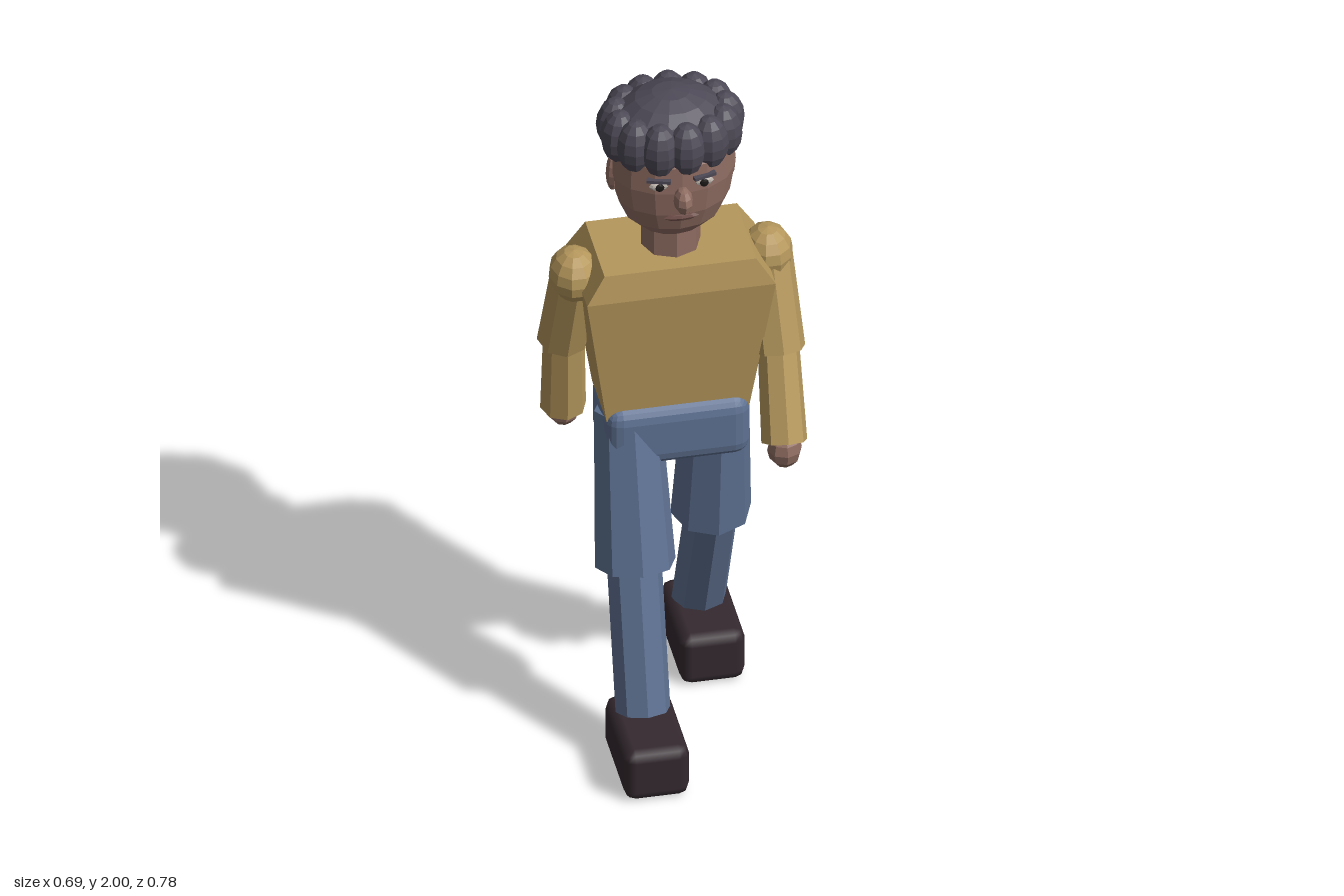
import * as THREE from 'three';
import { RoundedBoxGeometry } from 'three/addons/geometries/RoundedBoxGeometry.js';

const mat = (name, color, flatShading = true) => {
  const m = new THREE.MeshStandardMaterial({ color, flatShading });
  m.name = name;
  return m;
};

export function createModel() {
  const skin = mat('skin', 0x8f6d62);
  const shirt = mat('mustard shirt', 0xb5975c);
  const denim = mat('blue trousers', 0x5f7293);
  const denimSmooth = denim;
  const leather = mat('dark shoes', 0x34292f, false);
  const hairMat = mat('dark hair', 0x4d4956);
  const white = mat('eye white', 0xb8b0a8);
  const black = mat('pupil black', 0x1c1818);
  const lipMat = mat('lips', 0x6b4a44);

  const model = new THREE.Group();
  model.name = 'walkingMan';
  const MID = -0.056; // depth of the body's centre line

  const add = (name, geo, material, x = 0, y = 0, z = 0, parent = model) => {
    const mesh = new THREE.Mesh(geo, material);
    mesh.name = name;
    mesh.position.set(x, y, z);
    parent.add(mesh);
    return mesh;
  };

  // Faceted ellipsoid
  const ball = (name, material, p, r, ws = 10, hs = 8, parent = model) => {
    const mesh = add(name, new THREE.SphereGeometry(1, ws, hs), material, ...p, parent);
    mesh.scale.set(...r);
    return mesh;
  };

  // Eight-sided limb segment from a (upper end) to b (lower end)
  const limb = (name, material, a, b, rTop, rBottom, parent) => {
    const top = new THREE.Vector3(...a), low = new THREE.Vector3(...b);
    const dir = top.clone().sub(low);
    const geo = new THREE.CylinderGeometry(rTop, rBottom, dir.length(), 8);
    const c = top.clone().add(low).multiplyScalar(0.5);
    const mesh = add(name, geo, material, c.x, c.y, c.z, parent);
    mesh.quaternion.setFromUnitVectors(new THREE.Vector3(0, 1, 0), dir.normalize());
    return mesh;
  };

  // Torso: box with three levels, widest just under the shoulders
  const levels = [[1.0, 0.193, 0.095], [1.42, 0.255, 0.142], [1.5, 0.205, 0.127]];
  const torso = new THREE.BoxGeometry(2, 2, 2, 1, 2, 1);
  const pos = torso.attributes.position;
  for (let i = 0; i < pos.count; i++) {
    const [y, hx, hz] = levels[Math.round(pos.getY(i)) + 1];
    pos.setXYZ(i, pos.getX(i) * hx, y, pos.getZ(i) * hz);
  }
  torso.computeVertexNormals();
  add('torso', torso, shirt, 0, 0, MID);

  // Hips
  add('hips', new RoundedBoxGeometry(0.392, 0.19, 0.235, 2, 0.045), denimSmooth, 0, 0.943, MID + 0.005);

  // Neck
  add('neck', new THREE.CylinderGeometry(0.08, 0.08, 0.2, 8), skin, 0, 1.57, MID);

  // Head: turned profile, narrower front to back
  const head = new THREE.Group();
  head.name = 'head';
  model.add(head);
  const profile = [[0, 1.575], [0.085, 1.585], [0.128, 1.625], [0.154, 1.685], [0.166, 1.76], [0.162, 1.84], [0.1, 1.9], [0, 1.91]]
    .map(([x, y]) => new THREE.Vector2(x, y));
  add('skull', new THREE.LatheGeometry(profile, 14), skin, 0, 0, -0.033, head).scale.z = 0.79;

  // Face and ears
  ball('nose', skin, [0, 1.747, 0.108], [0.026, 0.038, 0.042], 8, 6, head);
  const mouth = ball('mouth', lipMat, [0, 1.677, 0.084], [0.048, 0.011, 0.011], 8, 4, head);
  mouth.name = 'mouth';
  for (const s of [1, -1]) {
    const side = s > 0 ? 'left' : 'right';
    ball(side + 'Eye', white, [s * 0.06, 1.786, 0.084], [0.028, 0.013, 0.012], 8, 6, head);
    ball(side + 'Pupil', black, [s * 0.06, 1.786, 0.094], [0.012, 0.012, 0.005], 8, 6, head);
    const brow = add(side + 'Brow', new THREE.BoxGeometry(0.064, 0.009, 0.016), hairMat, s * 0.062, 1.805, 0.088, head);
    brow.rotation.y = s * 0.3;
    ball(side + 'Ear', skin, [s * 0.158, 1.745, MID], [0.018, 0.055, 0.026], 8, 6, head);
  }

  // Hair: dome with a ring of curls
  const hair = new THREE.Group();
  hair.name = 'hair';
  model.add(hair);
  ball('crown', hairMat, [0, 1.875, MID], [0.165, 0.12, 0.145], 14, 10, hair);
  const curls = 13;
  for (let i = 0; i < curls; i++) {
    const a = (i / curls) * Math.PI * 2;
    const curl = ball('curl', hairMat, [0.147 * Math.cos(a), 1.882, MID + 0.121 * Math.sin(a)],
      [0.053, 0.08, 0.053], 10, 8, hair);
    curl.rotation.y = -a;
  }

  // Arms: the left one swings forward, the right one back
  const arms = [
    { side: 'left', s: 1, elbow: [1.17, 0.035], wrist: [0.945, 0.143], hand: [0.927, 0.15] },
    { side: 'right', s: -1, elbow: [1.165, -0.14], wrist: [0.915, -0.178], hand: [0.907, -0.183] },
  ];
  for (const { side, s, elbow, wrist, hand } of arms) {
    const arm = new THREE.Group();
    arm.name = side + 'Arm';
    model.add(arm);
    ball('shoulder', shirt, [s * 0.262, 1.43, MID], [0.068, 0.076, 0.08], 10, 8, arm);
    limb('upperArm', shirt, [s * 0.262, 1.43, MID], [s * 0.275, ...elbow], 0.066, 0.07, arm);
    limb('forearm', shirt, [s * 0.273, elbow[0] + 0.02, elbow[1] - s * 0.005], [s * 0.266, ...wrist], 0.056, 0.062, arm);
    ball('hand', skin, [s * 0.265, ...hand], [0.047, 0.055, 0.047], 8, 6, arm);
  }

  // Legs: the left one trails, the right one leads
  const legs = [
    { side: 'left', s: 1, hip: -0.062, knee: -0.128, ankle: -0.293, foot: -0.24 },
    { side: 'right', s: -1, hip: -0.03, knee: 0.075, ankle: 0.185, foot: 0.242 },
  ];
  for (const { side, s, hip, knee, ankle, foot } of legs) {
    const leg = new THREE.Group();
    leg.name = side + 'Leg';
    model.add(leg);
    limb('thigh', denim, [s * 0.123, 0.99, hip], [s * 0.123, 0.555, knee], 0.09, 0.109, leg);
    limb('shin', denim, [s * 0.125, 0.565, knee + 0.005 * s], [s * 0.125, 0.155, ankle], 0.074, 0.074, leg);
    add('shoe', new RoundedBoxGeometry(0.177, 0.155, 0.295, 1, 0.03), leather, s * 0.125, 0.0775, foot, leg);
  }

  return model;
}
